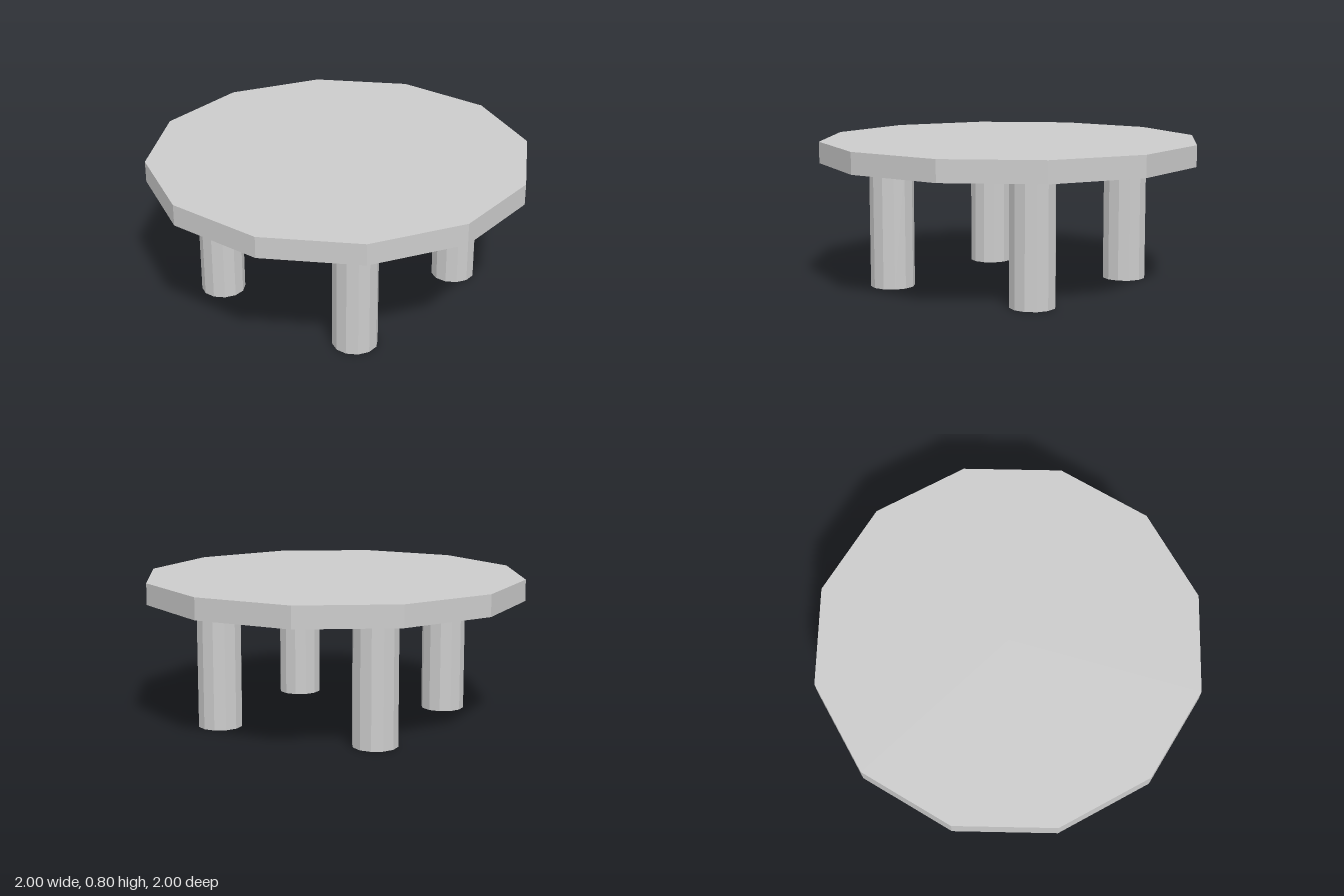
import * as THREE from 'three';

const SIDES = 12;
const TOP_Y = 0.795;
const LEG_HEIGHT = 0.68;
const LEG_OFFSET = 0.46;

const material = new THREE.MeshStandardMaterial({ color: 0xcccccc, flatShading: true });

// Twelve-sided prism with flats facing the axes; apothem is the centre-to-flat distance
function prism(name, apothem, bottom, top) {
  const radius = apothem / Math.cos(Math.PI / SIDES);
  const geometry = new THREE.CylinderGeometry(radius, radius, top - bottom, SIDES);
  geometry.rotateY(Math.PI / SIDES);
  geometry.translate(0, (top + bottom) / 2, 0);
  const mesh = new THREE.Mesh(geometry, material);
  mesh.name = name;
  return mesh;
}

export function createModel() {
  const table = new THREE.Group();
  table.name = 'roundTable';

  // Table top
  table.add(prism('tableTop', 1, LEG_HEIGHT, TOP_Y));

  // Four legs
  for (const [sx, side] of [[1, 'Left'], [-1, 'Right']]) {
    for (const [sz, end] of [[1, 'front'], [-1, 'back']]) {
      const leg = prism(`${end}${side}Leg`, 0.116, 0, LEG_HEIGHT);
      leg.position.set(sx * LEG_OFFSET, 0, sz * LEG_OFFSET);
      table.add(leg);
    }
  }
  return table;
}
